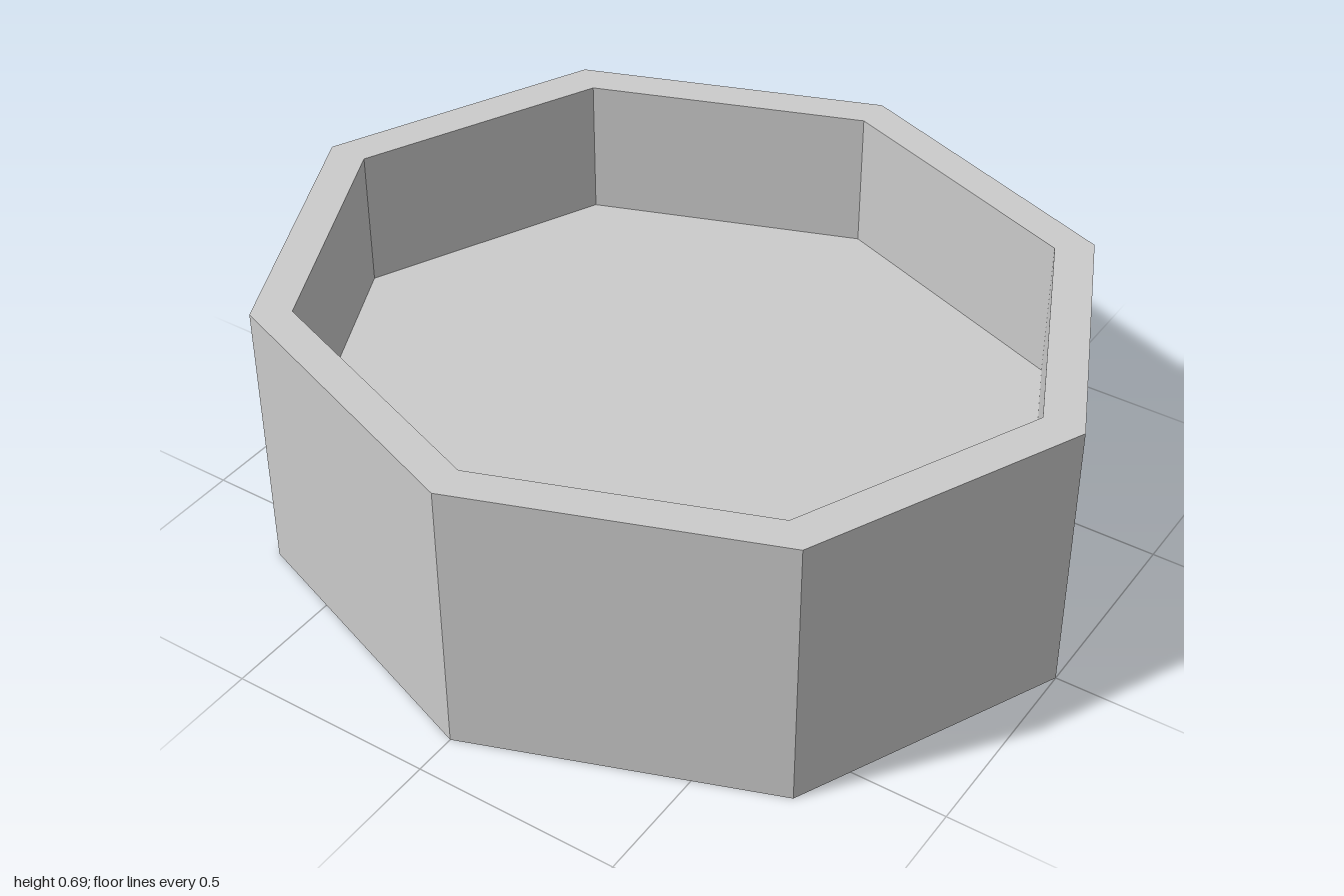
import * as THREE from 'three';

const SIDES = 8;
const HEIGHT = 0.69;
const FLOOR = 0.345; // height of the recessed floor
const INNER = 0.902; // inner radius, outer is 1
const DEPTH = 0.895; // squash along z

export function createModel() {
  const group = new THREE.Group();
  group.name = 'octagonalBasin';

  // Closed profile: underside, outer wall, rim, inner wall, floor
  const profile = [
    [0, 0],
    [1, 0],
    [1, HEIGHT],
    [INNER, HEIGHT],
    [INNER, FLOOR],
    [0, FLOOR],
  ].map(([r, y]) => new THREE.Vector2(r, y));

  // Eight flat sides, with corners on the x and z axes
  const geometry = new THREE.LatheGeometry(profile, SIDES).toNonIndexed();
  geometry.scale(1, 1, DEPTH);
  geometry.computeVertexNormals();

  const material = new THREE.MeshStandardMaterial({ color: 0xcccccc, flatShading: true });
  const basin = new THREE.Mesh(geometry, material);
  basin.name = 'basin';
  group.add(basin);

  return group;
}
